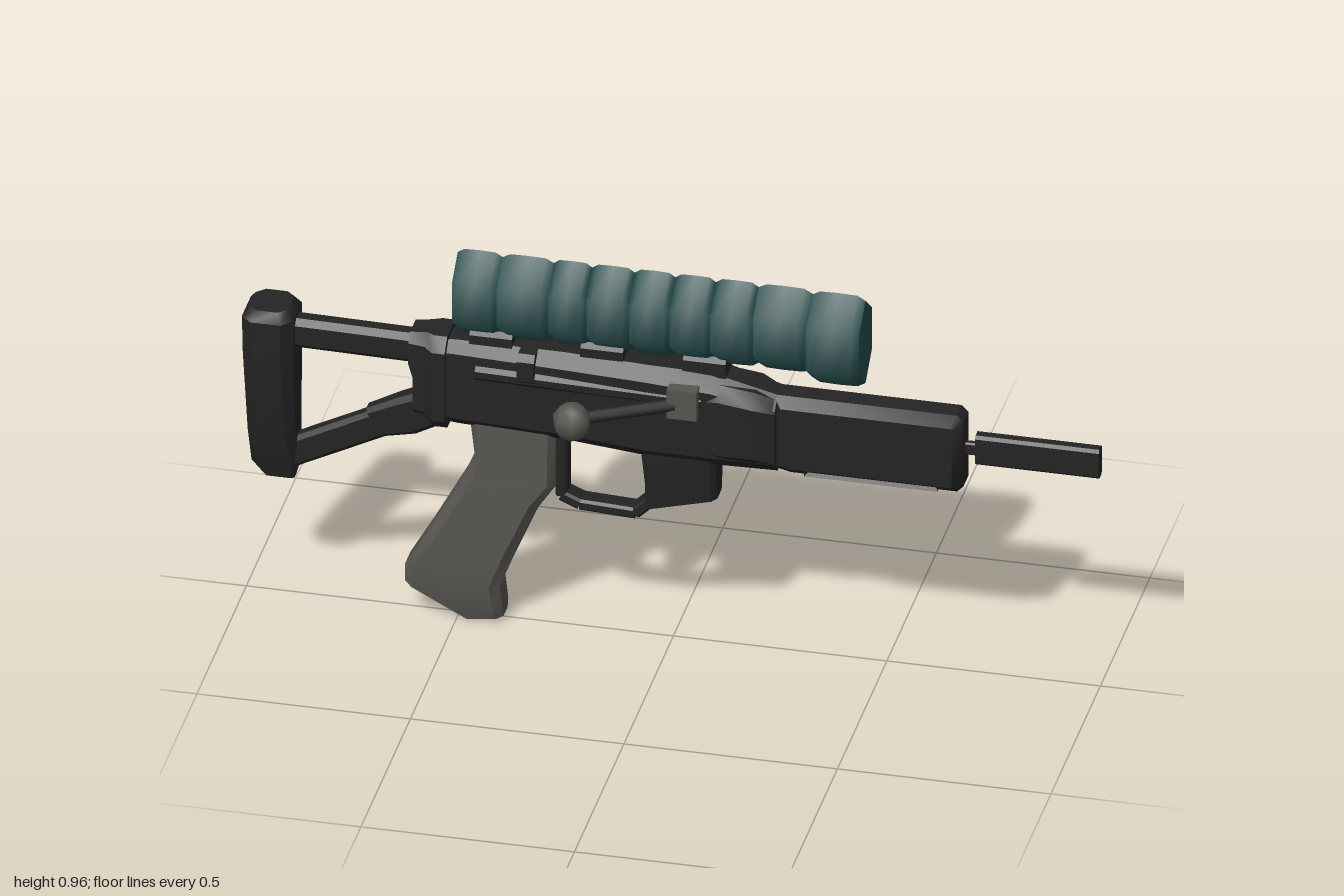
import * as THREE from 'three';
import { toCreasedNormals } from 'three/addons/utils/BufferGeometryUtils.js';

export function createModel() {
  const model = new THREE.Group();
  const mat = (name, color) => {
    const m = new THREE.MeshStandardMaterial({ color });
    m.name = name;
    return m;
  };
  const black = mat('gunmetal', 0x252425);
  const grey = mat('warm grey', 0x565550);
  const teal = mat('dark teal', 0x264c4c);

  const add = (name, geometry, material) => {
    const mesh = new THREE.Mesh(geometry, material);
    mesh.name = name;
    model.add(mesh);
    return mesh;
  };

  // Chamfered loft. Each section is a line in the xy plane plus half depth and chamfer:
  // [x0, y0, x1, y1, hz, chamfer]; sections advance to the right of the line's direction.
  const loft = (name, material, sections) => {
    const pos = [], idx = [];
    for (const [x0, y0, x1, y1, hz, ch] of sections) {
      const cx = (x0 + x1) / 2, cy = (y0 + y1) / 2;
      const h = Math.hypot(x1 - x0, y1 - y0) / 2;
      const ux = (x1 - x0) / 2 / h, uy = (y1 - y0) / 2 / h;
      const a = h - ch, b = hz - ch;
      for (const [u, z] of [[h, -b], [h, b], [a, hz], [-a, hz], [-h, b], [-h, -b], [-a, -hz], [a, -hz]])
        pos.push(cx + ux * u, cy + uy * u, z);
    }
    const n = sections.length;
    for (let s = 0; s < n - 1; s++)
      for (let i = 0; i < 8; i++) {
        const p = s * 8 + i, q = s * 8 + (i + 1) % 8;
        idx.push(p, q, q + 8, p, q + 8, p + 8);
      }
    for (let i = 1; i < 7; i++) {
      const e = (n - 1) * 8;
      idx.push(0, i + 1, i, e, e + i, e + i + 1);
    }
    const g = new THREE.BufferGeometry();
    g.setAttribute('position', new THREE.Float32BufferAttribute(pos, 3));
    g.setIndex(idx);
    return add(name, toCreasedNormals(g, 0.65), material);
  };
  // Section standing upright at x, spanning y0..y1
  const up = (x, y0, y1, hz, ch) => [x, y0, x, y1, hz, ch];
  // Straight bar between two points in the xy plane
  const bar = (name, x0, y0, x1, y1, h, hz, ch = 0.01) => {
    const l = Math.hypot(x1 - x0, y1 - y0), nx = -(y1 - y0) / l * h, ny = (x1 - x0) / l * h;
    return loft(name, black, [[x0, y0], [x1, y1]].map(([x, y]) => [x - nx, y - ny, x + nx, y + ny, hz, ch]));
  };

  // Receiver
  loft('receiver', black, [
    up(-0.6, 0.53, 0.73, 0.045, 0.02), up(-0.5, 0.52, 0.74, 0.055, 0.025),
    up(-0.25, 0.51, 0.74, 0.06, 0.03), up(-0.05, 0.495, 0.735, 0.065, 0.03),
    up(0.1, 0.49, 0.73, 0.066, 0.035), up(0.25, 0.49, 0.69, 0.055, 0.03)]);
  loft('frontCollar', black, [
    up(0.08, 0.53, 0.69, 0.062, 0.02), up(0.12, 0.51, 0.71, 0.076, 0.03),
    up(0.2, 0.51, 0.70, 0.076, 0.03), up(0.25, 0.5, 0.68, 0.058, 0.025)]);
  loft('rearCollar', black, [
    up(-0.61, 0.65, 0.745, 0.048, 0.02), up(-0.57, 0.52, 0.75, 0.055, 0.025),
    up(-0.55, 0.51, 0.75, 0.07, 0.03), up(-0.52, 0.51, 0.75, 0.07, 0.03)]);
  loft('sideLugs', black, [up(-0.35, 0.66, 0.74, 0.074, 0.015), up(-0.31, 0.66, 0.74, 0.074, 0.015)]);
  bar('sideRail', -0.45, 0.675, 0.08, 0.665, 0.018, 0.069);
  for (const x of [-0.42, -0.16, 0.08])
    loft('scopeMount', black, [up(x - 0.05, 0.71, 0.77, 0.035, 0.012), up(x + 0.05, 0.71, 0.77, 0.035, 0.012)]);

  // Handguard with an open slot around an inner core
  const guard = new THREE.Shape([[0.24, 0.5], [0.28, 0.49], [0.67, 0.49], [0.685, 0.505],
    [0.685, 0.675], [0.67, 0.69], [0.24, 0.69]].map(p => new THREE.Vector2(...p)));
  guard.holes.push(new THREE.Path([[0.34, 0.52], [0.34, 0.6], [0.37, 0.625], [0.61, 0.625],
    [0.61, 0.52]].map(p => new THREE.Vector2(...p))));
  const guardGeo = new THREE.ExtrudeGeometry(guard, {
    depth: 0.05, bevelEnabled: true, bevelSegments: 1, bevelThickness: 0.026, bevelSize: 0.022, bevelOffset: -0.022 });
  guardGeo.translate(0, 0, -0.025);
  add('handguard', toCreasedNormals(guardGeo, 0.65), black);
  bar('handguardCore', 0.32, 0.56, 0.63, 0.555, 0.031, 0.022);
  bar('coreBlock', 0.44, 0.575, 0.49, 0.575, 0.055, 0.018, 0.006);

  // Barrel
  bar('barrelNeck', 0.66, 0.595, 0.72, 0.595, 0.016, 0.009, 0.004);
  bar('barrel', 0.71, 0.597, 1.0, 0.597, 0.038, 0.017, 0.007);

  // Shoulder stock
  bar('stockTube', -0.92, 0.7, -0.58, 0.695, 0.038, 0.028, 0.014);
  bar('stockStrutUpper', -0.92, 0.365, -0.68, 0.488, 0.036, 0.022);
  loft('stockStrutJoint', black, [
    [-0.68, 0.45, -0.716, 0.52, 0.022, 0.01], [-0.6, 0.47, -0.64, 0.56, 0.028, 0.012], up(-0.53, 0.51, 0.61, 0.035, 0.015)]);
  loft('buttPlate', black, [
    [-0.985, 0.767, -0.895, 0.767, 0.05, 0.02], [-1, 0.745, -0.88, 0.745, 0.07, 0.025],
    [-0.998, 0.65, -0.88, 0.65, 0.07, 0.025], [-0.99, 0.44, -0.878, 0.44, 0.05, 0.02],
    [-0.985, 0.35, -0.875, 0.35, 0.025, 0.012], [-0.955, 0.312, -0.885, 0.312, 0.014, 0.006]]);

  // Pistol grip
  loft('grip', grey, [
    [-0.47, 0.53, -0.27, 0.53, 0.04, 0.015], [-0.46, 0.44, -0.27, 0.38, 0.042, 0.018],
    [-0.485, 0.38, -0.31, 0.32, 0.046, 0.02], [-0.56, 0.24, -0.365, 0.19, 0.05, 0.022],
    [-0.622, 0.13, -0.4, 0.1, 0.05, 0.022], [-0.622, 0.085, -0.393, 0.04, 0.047, 0.02],
    [-0.49, 0.005, -0.393, 0.018, 0.036, 0.015]]);

  // Magazine well and trigger guard
  loft('magazineWell', black, [
    [-0.07, 0.52, 0.105, 0.52, 0.045, 0.012], [-0.06, 0.42, 0.108, 0.44, 0.042, 0.012],
    [-0.06, 0.35, 0.108, 0.395, 0.034, 0.012]]);
  const loop = [[-0.258, 0.52], [-0.258, 0.355], [-0.215, 0.336], [-0.085, 0.33], [-0.05, 0.365]];
  for (let i = 0; i < loop.length - 1; i++)
    bar('triggerGuard', ...loop[i], ...loop[i + 1], 0.014, 0.026, 0.006);

  // Scope: a row of bulging hexagonal rings, the last one slightly lower
  const edges = [-0.505, -0.4, -0.28, -0.19, -0.09, 0.005, 0.1, 0.2, 0.325, 0.45];
  for (let i = 0; i < edges.length - 1; i++) {
    const l = edges[i + 1] - edges[i], last = i === edges.length - 2;
    const r = last ? 0.121 : 0.111;
    const profile = [[0, 0], [r * 0.9, 0], [r * 0.99, l * 0.15], [r, l * 0.5], [r * 0.99, l * 0.85], [r * 0.9, l], [0, l]]
      .map(p => new THREE.Vector2(...p));
    const g = new THREE.LatheGeometry(profile, 6, Math.PI / 2);
    g.rotateZ(-Math.PI / 2);
    g.scale(1, 1, 0.69);
    add('scopeRing', toCreasedNormals(g, 1.1), teal)
      .position.set(edges[i], last ? 0.842 : 0.854, 0);
  }

  // Side levers with round knobs, mirrored
  for (const s of [1, -1]) {
    const a = new THREE.Vector3(-0.2, 0.64, s * 0.155), b = new THREE.Vector3(0.04, 0.665, s * 0.07);
    const rod = add('leverRod', new THREE.CylinderGeometry(0.015, 0.015, a.distanceTo(b), 8), black);
    rod.position.copy(a).lerp(b, 0.5);
    rod.quaternion.setFromUnitVectors(new THREE.Vector3(0, 1, 0), b.clone().sub(a).normalize());
    const knob = add('leverKnob', new THREE.SphereGeometry(0.046, 7, 5), grey);
    knob.position.set(-0.2, 0.64, s * 0.165);
    const pivot = add('leverPivot', new THREE.BoxGeometry(0.07, 0.075, 0.04), grey);
    pivot.position.set(0.04, 0.67, s * 0.07);
  }
  return model;
}
